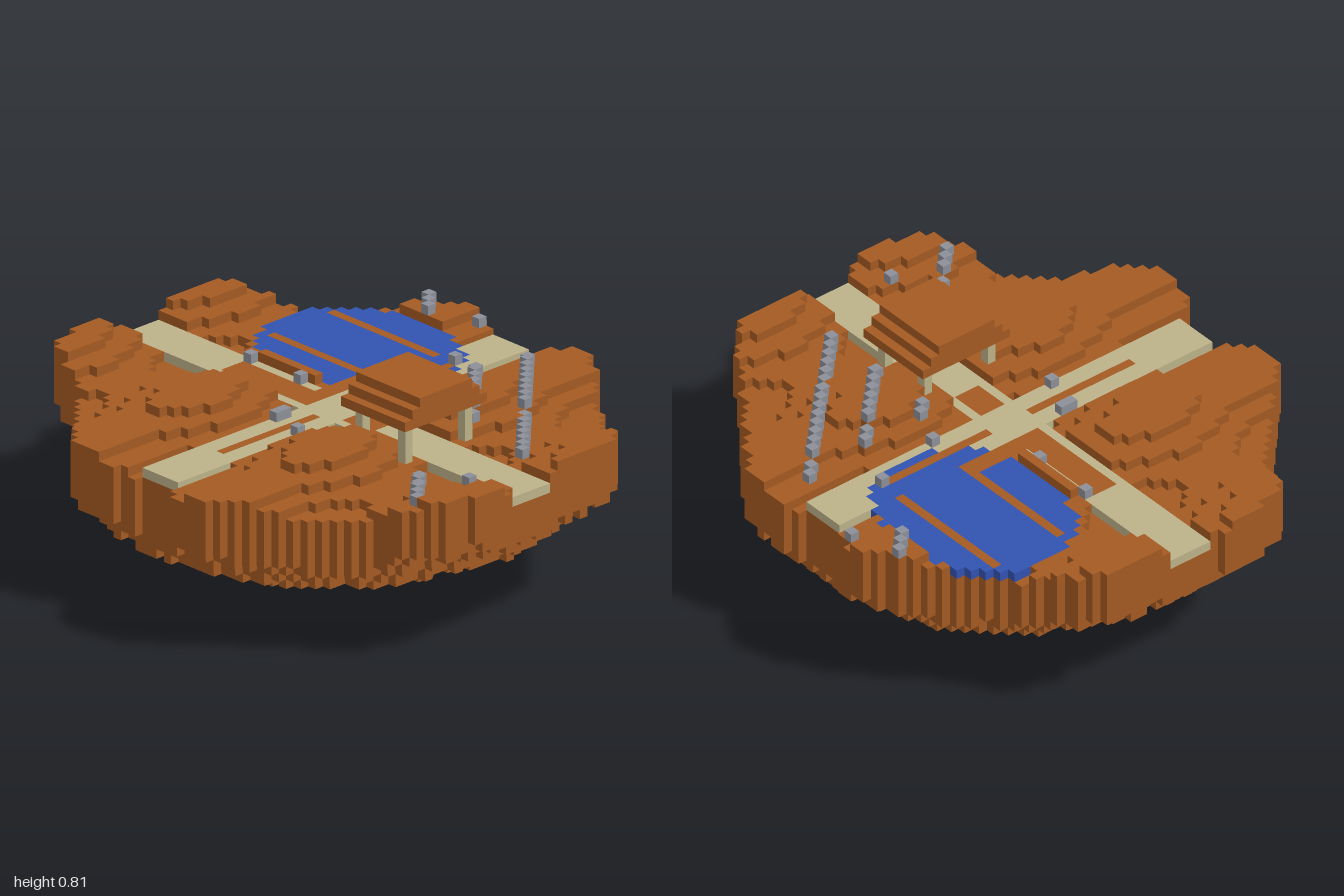
import * as THREE from 'three';
import { mergeGeometries } from 'three/addons/utils/BufferGeometryUtils.js';

const V = 2 / 57;          // voxel size
const PATH_TOP = 16;       // level of paths and water, in voxels

const earth = new THREE.MeshStandardMaterial({ color: 0xa45a22 });
const sand = new THREE.MeshStandardMaterial({ color: 0xbcb289 });
const water = new THREE.MeshStandardMaterial({ color: 0x3252b0 });
const stone = new THREE.MeshStandardMaterial({ color: 0x8c8f98 });
earth.name = 'earth'; sand.name = 'sand'; water.name = 'water'; stone.name = 'stone';

// Box from voxel bounds
function block(x0, x1, y0, y1, z0, z1) {
  return new THREE.BoxGeometry((x1 - x0) * V, (y1 - y0) * V, (z1 - z0) * V)
    .translate((x0 + x1) / 2 * V, (y0 + y1) / 2 * V, (z0 + z1) / 2 * V);
}

// Piecewise linear lookup
function lookup(points, t) {
  if (t <= points[0][0]) return points[0][1];
  for (let k = 1; k < points.length; k++) {
    const [a, p] = points[k - 1], [b, q] = points[k];
    if (t <= b) return p + (q - p) * (t - a) / (b - a);
  }
  return points[points.length - 1][1];
}

// Shoreline x by z, and underside height by radius
const LEFT = [[-.95, -.37], [-.86, -.45], [-.75, -.46], [-.5, -.72], [-.35, -.88], [-.2, -.87],
  [-.1, -.84], [.1, -.85], [.2, -.91], [.3, -.91], [.5, -.72], [.7, -.51], [.85, -.48], [.95, -.38]];
const RIGHT = [[-.95, .4], [-.8, .49], [-.65, .59], [-.5, .74], [-.35, .86], [-.28, .91], [-.2, .9],
  [-.1, .84], [.1, .88], [.17, .91], [.33, .9], [.5, .77], [.7, .6], [.85, .52], [.95, .42]];
const UNDER = [[.16, 0], [.3, .08], [.5, .175], [.8, .265], [.9, .36], [1, .42], [1.1, .45]];

function rowRange(j) {
  if (Math.abs(j) === 28) return [-8, -3];
  if (Math.abs(j) <= 2) return [-23, 24];
  return [Math.round(lookup(LEFT, j * V) / V), Math.round(lookup(RIGHT, j * V) / V)];
}

function hash(i, j) {
  const s = Math.sin(i * 127.1 + j * 311.7) * 43758.5453;
  return s - Math.floor(s);
}

// Rolling terraced hills
function hillTop(x, z) {
  const a = Math.min(1, Math.abs(Math.abs(x) - .33) / .36);
  return Math.round(16.4 + .6 * Math.cos(Math.PI * a) - 1.2 * Math.cos(2 * Math.PI * z / .65));
}

// Earth strips level with the paths: x0, x1, z0, z1
const STRIPS = [[-.52, -.07, -.02, .02], [.1, .56, -.02, .02], [.28, .315, -.615, -.09],
  [.56, .597, -.615, -.09], [-.035, .315, -.16, -.09], [-.035, .07, -.51, -.09], [-.035, .07, .09, .23]];

function surface(i, j) {
  const x = (i + .5) * V, z = j * V;
  if (STRIPS.some(([a, b, c, d]) => x > a && x < b && z > c && z < d)) return 'strip';
  if (Math.abs((x - .438) / .305) ** 2.3 + Math.abs((z + .316) / .37) ** 2.3 < 1) return 'water';
  if (Math.abs(j) <= 2 || (i >= -2 && i < 3 && Math.abs(j) < 28)) return 'path';
  return 'hill';
}

function topAt(i, j) {
  return surface(i, j) === 'hill' ? hillTop((i + .5) * V, j * V) : PATH_TOP;
}

export function createModel() {
  const model = new THREE.Group();
  model.name = 'floatingIsland';
  const add = (name, parts, material) => {
    const mesh = new THREE.Mesh(mergeGeometries(parts), material);
    mesh.name = name;
    model.add(mesh);
  };

  // Island columns with path and pond caps
  const ground = [], paths = [], pond = [];
  for (let j = -28; j <= 28; j++) {
    const [start, end] = rowRange(j);
    for (let i = start; i < end; i++) {
      const r = Math.hypot((i + .5) * V, j * V);
      const rough = r > .3 ? (hash(i, j) - .5) * .9 : 0;
      const bottom = Math.max(0, Math.round(lookup(UNDER, r) / V + rough));
      const kind = surface(i, j);
      const capped = kind === 'path' || kind === 'water';
      const top = topAt(i, j) - (capped ? 1 : 0);
      ground.push(block(i, i + 1, bottom, top, j - .5, j + .5));
      if (capped) {
        (kind === 'path' ? paths : pond)
          .push(block(i, i + 1, PATH_TOP - 1, PATH_TOP, j - .5, j + .5));
      }
    }
  }
  add('ground', ground, earth);
  add('paths', paths, sand);
  add('pond', pond, water);

  // Stones: single cubes and diagonal rows, by voxel column and row
  const stones = [];
  const addStone = (i, j) => {
    const y = topAt(i, j);
    stones.push(block(i, i + 1, y, y + 1, j - .5, j + .5));
  };
  const addRow = (i, j, count) => {
    for (let k = 0; k < count; k++) addStone(i + k, j - k);
  };
  addRow(5, 21, 17);
  addRow(6, 13, 9);
  addRow(6, 6, 2);
  addRow(-12, 24, 8);
  addRow(21, -9, 3);
  for (const [i, j] of [[-5, 24], [2, -14], [2, -7], [-6, -2], [-5, -2], [-7, 2], [8, 2], [16, 0], [24, -5]]) {
    addStone(i, j);
  }
  add('stones', stones, stone);

  // Shelter over the front path
  const roof = [], posts = [];
  for (let k = 0; k < 3; k++) roof.push(block(-5 + k, 6 - k, 20 + k, 21 + k, 6.5, 15.5));
  for (const x of [-4, 4]) {
    for (const z of [7.5, 13.5]) posts.push(block(x, x + 1, 15, 20, z, z + 1));
  }
  add('shelterRoof', roof, earth);
  add('shelterPosts', posts, sand);
  return model;
}
